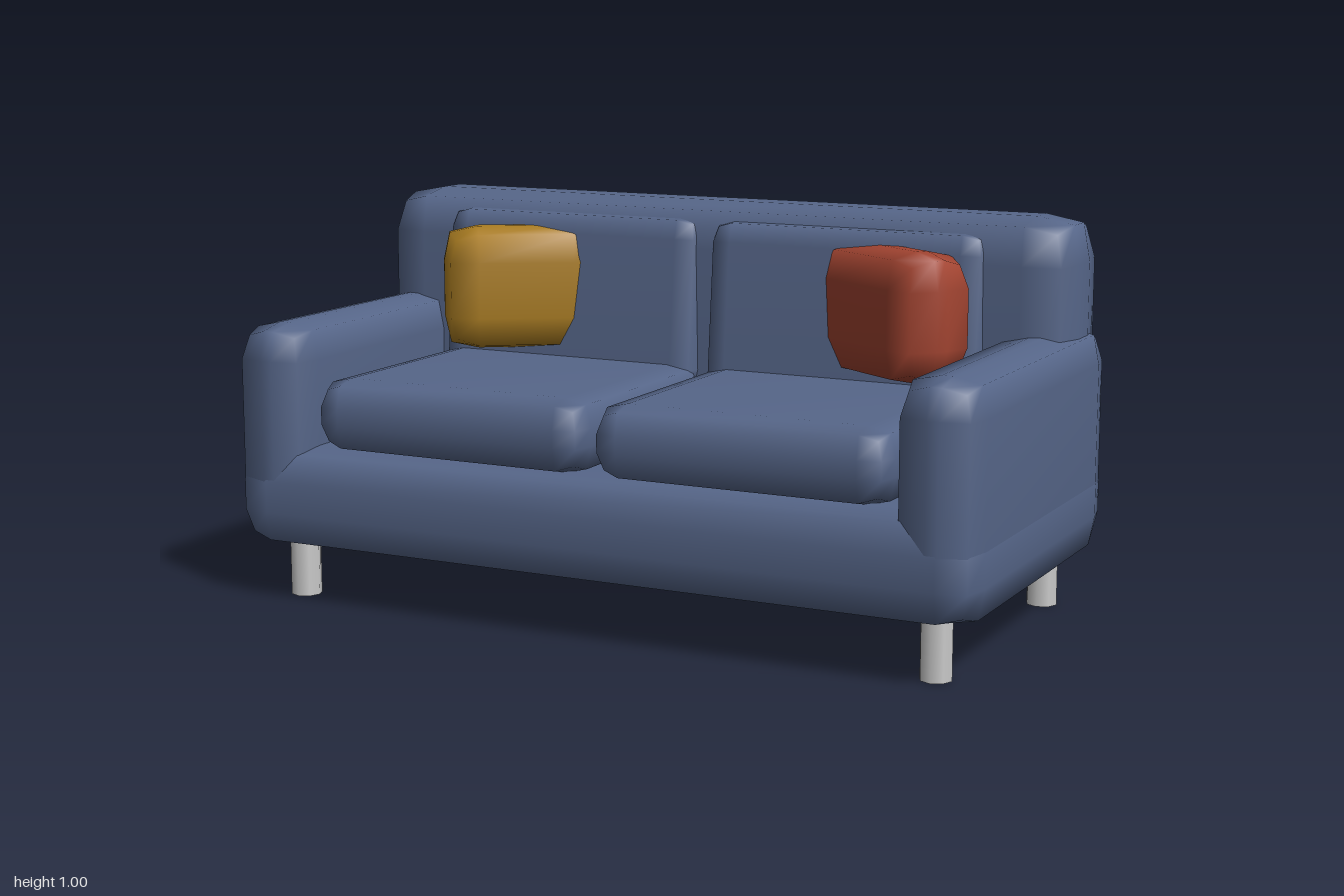
import * as THREE from 'three';
import { mergeVertices } from 'three/addons/utils/BufferGeometryUtils.js';

const fabric = new THREE.MeshStandardMaterial({ color: 0x566689 });
const ochre = new THREE.MeshStandardMaterial({ color: 0xa97c22 });
const rust = new THREE.MeshStandardMaterial({ color: 0xa24431 });
const metal = new THREE.MeshStandardMaterial({ color: 0xcccccc });

// Coarse padded box: a 3x3x3 grid with a border of width r whose
// edges are pulled in a little and corners pulled in twice as much.
function padded(w, h, d, r, pull) {
  const raw = new THREE.BoxGeometry(w, h, d, 3, 3, 3);
  raw.deleteAttribute('uv');
  raw.deleteAttribute('normal');
  const geo = mergeVertices(raw, 1e-4);
  const half = [w / 2, h / 2, d / 2];
  const pos = geo.attributes.position;
  for (let i = 0; i < pos.count; i++) {
    const p = [pos.getX(i), pos.getY(i), pos.getZ(i)];
    const outer = p.map((v, a) => Math.abs(v) > half[a] * 0.9);
    const inset = pull * (outer.filter(Boolean).length - 1);
    const q = p.map((v, a) => Math.sign(v) *
      (outer[a] ? half[a] - inset : half[a] - Math.min(r, half[a] * 0.85)));
    pos.setXYZ(i, ...q);
  }
  geo.computeVertexNormals();
  return geo;
}

export function createModel() {
  const sofa = new THREE.Group();
  sofa.name = 'sofa';

  function add(name, geo, mat, x, y, z) {
    const mesh = new THREE.Mesh(geo, mat);
    mesh.name = name;
    mesh.position.set(x, y, z);
    sofa.add(mesh);
    return mesh;
  }

  // Base and backrest
  add('base', padded(2, 0.26, 1, 0.09, 0.015), fabric, 0, 0.275, 0);
  add('backrest', padded(1.95, 0.785, 0.305, 0.115, 0.018), fabric, 0, 0.6125, -0.3475);

  for (const s of [-1, 1]) {
    const side = s > 0 ? 'left' : 'right';

    add(side + 'Arm', padded(0.198, 0.5, 0.998, 0.09, 0.015), fabric, s * 0.9, 0.467, 0);
    add(side + 'SeatCushion', padded(0.76, 0.185, 0.72, 0.07, 0.013), fabric, s * 0.396, 0.4925, 0.11);

    // Back cushion leans slightly backwards
    const back = add(side + 'BackCushion', padded(0.75, 0.46, 0.14, 0.06, 0.01), fabric, s * 0.394, 0.736, -0.228);
    back.rotation.x = -0.09;

    // Throw pillow turned towards the middle, sunk into the back cushion
    const pillow = add(side + 'Pillow', padded(0.43, 0.328, 0.21, 0.09, 0.016), s > 0 ? rust : ochre, s * 0.53, 0.763, -0.174);
    pillow.rotation.y = -s * 0.57;

    // Legs
    for (const f of [-1, 1]) {
      add(side + (f > 0 ? 'Front' : 'Back') + 'Leg',
        new THREE.CylinderGeometry(0.04, 0.04, 0.18, 8), metal, s * 0.875, 0.09, f * 0.38);
    }
  }
  return sofa;
}
